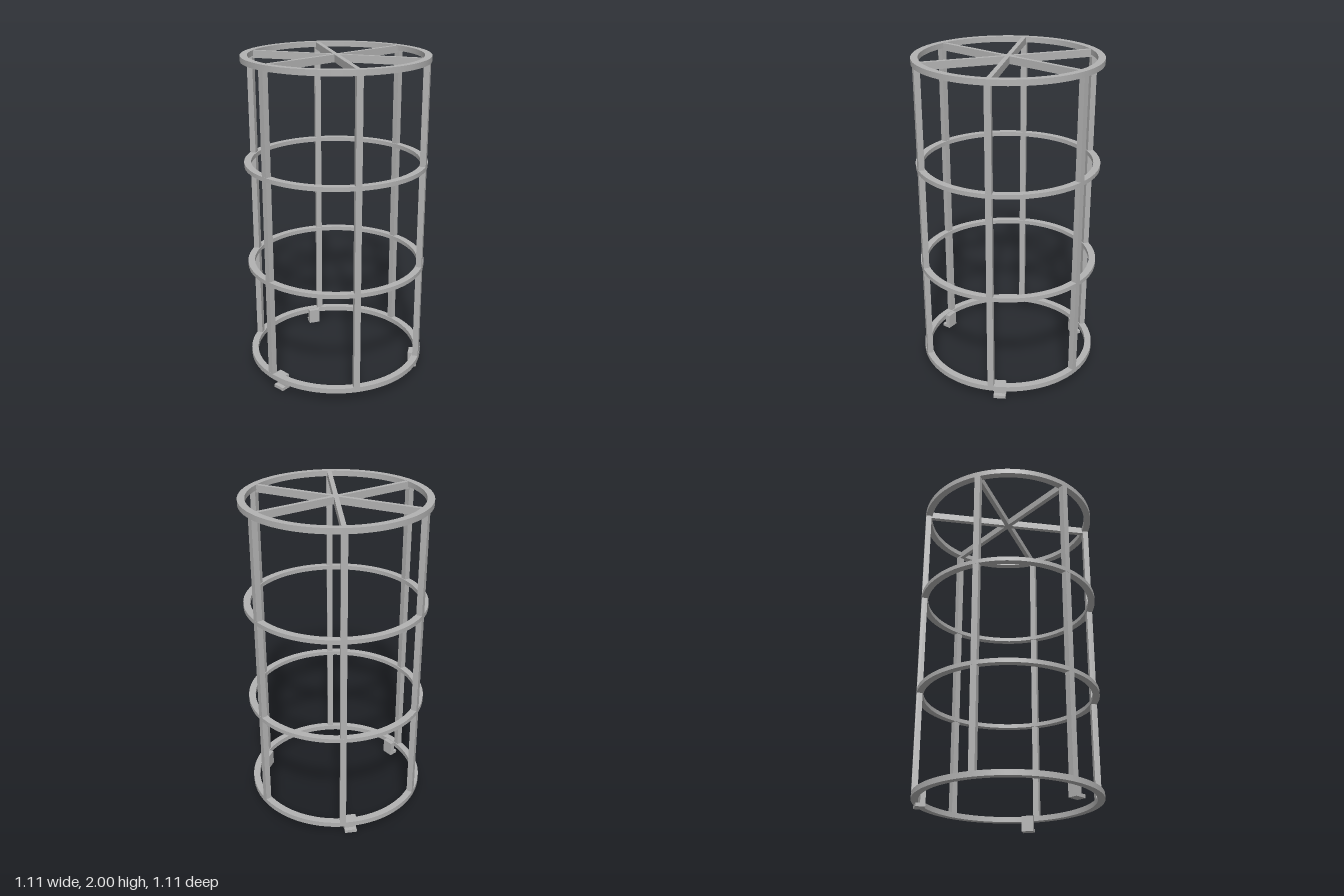
import * as THREE from 'three';
import { mergeGeometries } from 'three/addons/utils/BufferGeometryUtils.js';

const OUTER = 0.555, INNER = 0.513;

// Flat hoop with a rectangular section: one lathe per face keeps the edges sharp
function hoopGeometry(y0, y1) {
  const corners = [[OUTER, y0], [OUTER, y1], [INNER, y1], [INNER, y0]]
    .map(([r, y]) => new THREE.Vector2(r, y));
  return mergeGeometries(corners.map((p, i) =>
    new THREE.LatheGeometry([p, corners[(i + 1) % 4]], 96)));
}

// Box given by its limits
function boxGeometry(x0, x1, y0, y1, z0, z1) {
  return new THREE.BoxGeometry(x1 - x0, y1 - y0, z1 - z0)
    .translate((x0 + x1) / 2, (y0 + y1) / 2, (z0 + z1) / 2);
}

export function createModel() {
  const model = new THREE.Group();
  model.name = 'cylindricalFrame';
  const steel = new THREE.MeshStandardMaterial({ color: 0xb2b2b2 });
  steel.name = 'grey steel';

  const add = (name, geometry, angle = 0) => {
    const mesh = new THREE.Mesh(geometry, steel);
    mesh.name = name;
    mesh.rotation.y = angle;
    model.add(mesh);
  };

  // Hoops, from bottom to top
  add('bottomHoop', hoopGeometry(0.067, 0.099));
  add('lowerHoop', hoopGeometry(0.697, 0.723));
  add('upperHoop', hoopGeometry(1.342, 1.368));
  add('topHoop', hoopGeometry(1.967, 2));

  // Six upright posts, flush with the outside of the hoops
  const post = boxGeometry(-0.0185, 0.0185, 0.08, 1.985, 0.519, 0.5545);
  for (let i = 0; i < 6; i++) add('post' + (i + 1), post, i * Math.PI / 3);

  // Three full-width bars crossing at the centre of the top
  const bar = boxGeometry(-0.0135, 0.0135, 1.954, 1.998, -0.52, 0.52);
  for (let i = 0; i < 3; i++) add('topBar' + (i + 1), bar, i * Math.PI / 3);

  // Three L-shaped feet: plate inside the bottom hoop, toe pointing outwards
  const foot = mergeGeometries([
    boxGeometry(-0.037, 0.037, 0.02, 0.097, 0.482, 0.512),
    boxGeometry(-0.037, 0.037, 0, 0.02, 0.482, 0.538),
  ]);
  for (let i = 0; i < 3; i++) add('foot' + (i + 1), foot, 0.096 + i * Math.PI * 2 / 3);

  return model;
}
